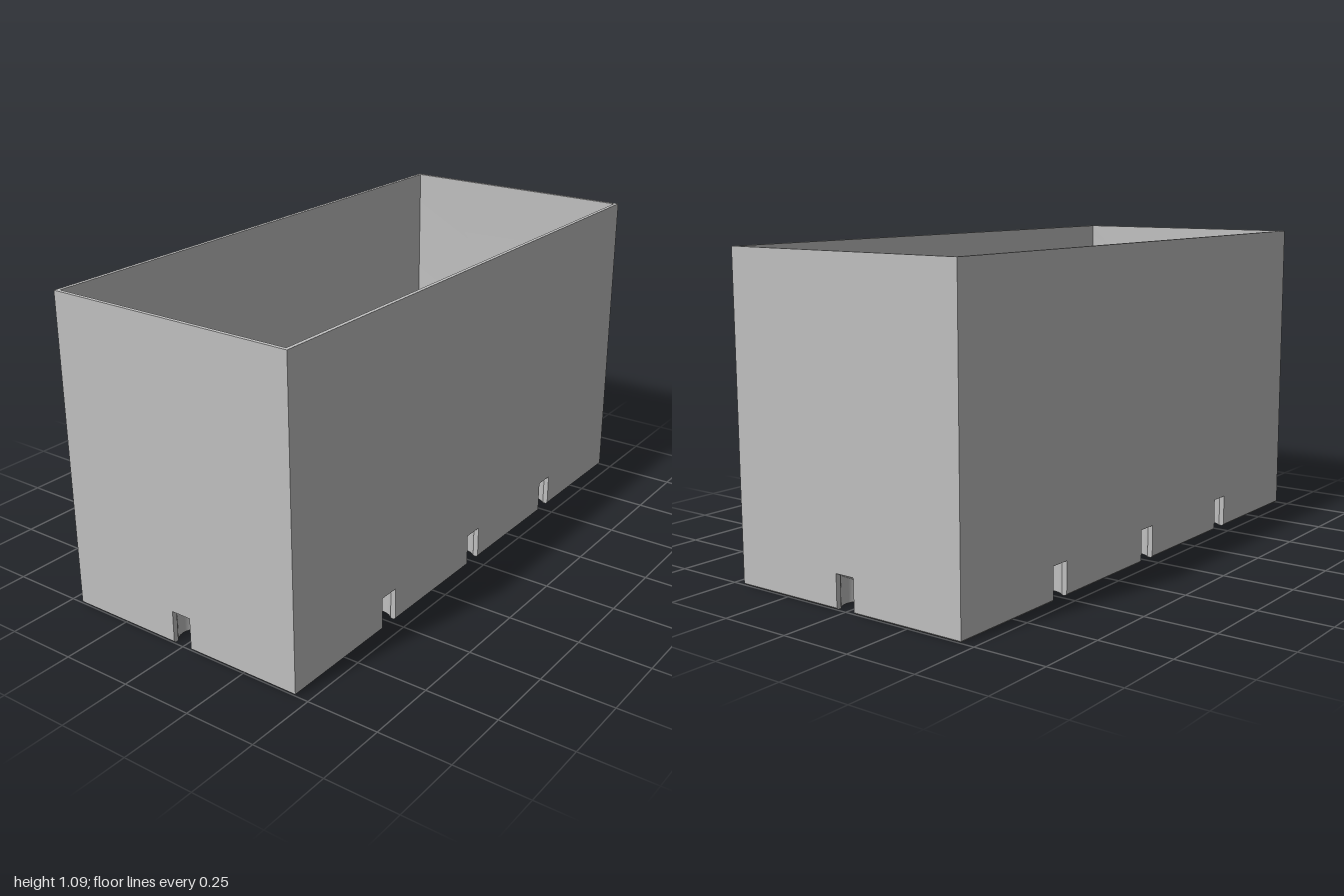
import * as THREE from 'three';
import { toCreasedNormals } from 'three/addons/utils/BufferGeometryUtils.js';

const W = 0.453, L = 1, H = 1.09;          // half width, half length, height
const BEVEL = 0.006, WALL = 0.013;         // bottom edge bevel, wall thickness
const FLOOR = 0.065, FILLET = 0.17;        // inner floor height, inner fillet radius
const NECK = 0.036, SLOT_TOP = 0.115;      // slot half width and height at the wall
const HOLE_R = 0.055, HOLE_D = 0.06;       // round end of the slot

const SIDES = [
  { name: 'front', half: W, dist: L, slots: [0] },
  { name: 'left', half: L, dist: W, slots: [-0.515, 0, 0.515] },
  { name: 'back', half: W, dist: L, slots: [0] },
  { name: 'right', half: L, dist: W, slots: [-0.515, 0, 0.515] },
];

const slotCeiling = (d) => SLOT_TOP - 0.5 * d;

// Keyhole outline as [offset along the wall, depth from the wall]
function keyhole() {
  const pts = [[-NECK, 0], [-NECK, BEVEL]];
  const start = Math.PI - Math.asin(NECK / HOLE_R);
  for (let i = 0; i <= 24; i++) {
    const a = -start + (2 * start * i) / 24;
    pts.push([HOLE_R * Math.sin(a), HOLE_D + HOLE_R * Math.cos(a)]);
  }
  pts.push([NECK, BEVEL], [NECK, 0]);
  return pts;
}

// Surface between two polylines with the same number of points
function strip(a, b) {
  const n = a.length, index = [];
  for (let i = 0; i < n - 1; i++) index.push(i, n + i, i + 1, n + i, n + i + 1, i + 1);
  const g = new THREE.BufferGeometry();
  g.setAttribute('position', new THREE.Float32BufferAttribute([...a, ...b].flat(), 3));
  g.setIndex(index);
  return toCreasedNormals(g, 0.5);
}

const shapeOf = (pts) => new THREE.Shape(pts.map(([x, y]) => new THREE.Vector2(x, y)));

export function createModel() {
  const model = new THREE.Group();
  model.name = 'openBox';
  const grey = new THREE.MeshStandardMaterial({ color: 0xc0c0c0 });
  const add = (parent, name, geometry) => {
    const mesh = new THREE.Mesh(geometry, grey);
    mesh.name = name;
    parent.add(mesh);
  };
  const hole = keyhole();

  // Inner profile: rim, wall, then fillet down to the floor
  const profile = [[0, H], [WALL, H]];
  for (let i = 0; i <= 12; i++) {
    const a = (i / 12) * Math.PI / 2;
    profile.push([WALL + FILLET * (1 - Math.cos(a)), FLOOR + FILLET * (1 - Math.sin(a))]);
  }

  const base = [];
  SIDES.forEach(({ name, half, dist, slots }, k) => {
    const side = new THREE.Group();
    side.name = name + 'Side';
    side.rotation.y = (k * Math.PI) / 2;
    model.add(side);

    // Outer wall with notches
    const outline = [[-half, BEVEL]];
    for (const p of slots) {
      outline.push([p - NECK, BEVEL], [p - NECK, SLOT_TOP], [p + NECK, SLOT_TOP], [p + NECK, BEVEL]);
    }
    outline.push([half, BEVEL], [half, H], [-half, H]);
    add(side, 'outerWall', new THREE.ShapeGeometry(shapeOf(outline)).translate(0, 0, dist));

    // Rim, inner wall and mitred fillet
    const inner = (s) => profile.map(([d, y]) => [s * (half - d), y, dist - d]);
    add(side, 'innerWall', strip(inner(-1), inner(1)));

    // Bevel along the bottom edge, broken at the slots
    const ends = [-half, ...slots.flatMap((p) => [p - NECK, p + NECK]), half];
    for (let i = 0; i < ends.length; i += 2) {
      const span = [ends[i], ends[i + 1]];
      const inset = span.map((p) => THREE.MathUtils.clamp(p, BEVEL - half, half - BEVEL));
      add(side, 'bottomBevel', strip(
        span.map((p) => [p, BEVEL, dist]),
        inset.map((p) => [p, 0, dist - BEVEL])));
    }

    // Keyhole slots with sloping ceilings
    for (const p of slots) {
      add(side, 'slotWall', strip(
        hole.map(([x, d]) => [p + x, slotCeiling(d), dist - d]),
        hole.map(([x, d]) => [p + x, Math.max(0, BEVEL - d), dist - d])));
      const ceiling = new THREE.ShapeGeometry(shapeOf(hole.map(([x, d]) => [p + x, -d])));
      ceiling.rotateX(Math.PI / 2);
      const pos = ceiling.attributes.position;
      for (let i = 0; i < pos.count; i++) pos.setY(i, slotCeiling(-pos.getZ(i)));
      ceiling.translate(0, 0, dist).computeVertexNormals();
      add(side, 'slotCeiling', ceiling);
    }

    // This side's share of the base outline
    const edge = [[BEVEL - half, BEVEL]];
    for (const p of slots) edge.push(...hole.slice(1, -1).map(([x, d]) => [p + x, d]));
    const c = Math.round(Math.cos(side.rotation.y)), s = Math.round(Math.sin(side.rotation.y));
    for (const [x, d] of edge) base.push([x * c + (dist - d) * s, -x * s + (dist - d) * c]);
  });

  // Underside with keyhole cut-outs
  add(model, 'underside', new THREE.ShapeGeometry(shapeOf(base)).rotateX(Math.PI / 2));

  // Inner floor
  const inset = 2 * (WALL + FILLET);
  add(model, 'innerFloor', new THREE.PlaneGeometry(2 * W - inset, 2 * L - inset)
    .rotateX(-Math.PI / 2).translate(0, FLOOR, 0));
  return model;
}
